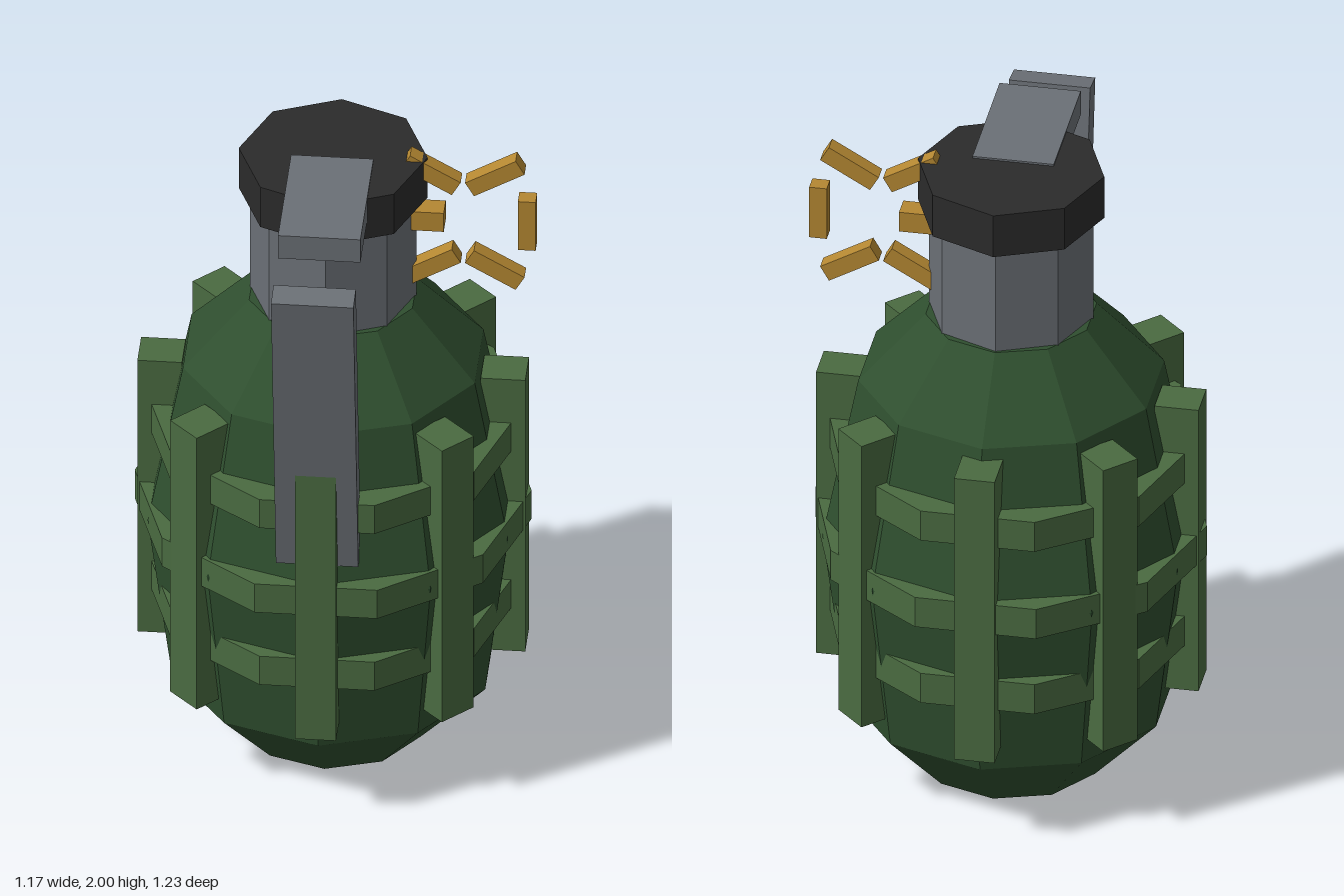
import * as THREE from 'three';

const paint = (name, color) => {
  const m = new THREE.MeshStandardMaterial({ color, flatShading: true });
  m.name = name;
  return m;
};

export function createModel() {
  const darkGreen = paint('dark green', 0x2f4f2f);
  const green = paint('olive green', 0x4a6b41);
  const steel = paint('steel grey', 0x6b7076);
  const black = paint('cap black', 0x2b2b2b);
  const brass = paint('brass', 0xb58832);

  const model = new THREE.Group();
  model.name = 'grenade';
  // everything is laid out around the body's axis
  const core = new THREE.Group();
  core.name = 'core';
  core.position.set(-0.01, 0, -0.05);
  model.add(core);

  const add = (name, geometry, material, x = 0, y = 0, z = 0, parent = core) => {
    const mesh = new THREE.Mesh(geometry, material);
    mesh.name = name;
    mesh.position.set(x, y, z);
    parent.add(mesh);
    return mesh;
  };

  // ten-sided body
  const profile = [[0, 0], [0.278, 0], [0.48, 0.22], [0.552, 0.77], [0.447, 1.29], [0.25, 1.5], [0, 1.5]];
  add('body', new THREE.LatheGeometry(profile.map(p => new THREE.Vector2(...p)), 10), darkGreen);

  // horizontal bands, turned half a facet against the body
  for (const [y, r] of [[0.5, 0.543], [0.777, 0.578], [1.052, 0.543]]) {
    add('band', new THREE.CylinderGeometry(r, r, 0.1, 10), green, 0, y).rotation.y = Math.PI / 10;
  }

  // upright ribs
  for (let i = 0; i < 8; i++) {
    const a = i * Math.PI / 4;
    add('rib', new THREE.BoxGeometry(0.12, 0.955, 0.13), green,
      Math.sin(a) * 0.5, 0.777, Math.cos(a) * 0.5).rotation.y = a;
  }

  // neck and cap
  add('neck', new THREE.CylinderGeometry(0.243, 0.243, 0.36, 8), steel, 0, 1.67);
  add('cap', new THREE.CylinderGeometry(0.275, 0.275, 0.14, 8), black, 0, 1.91);

  // lever: flat arm on the cap and a sloping handle
  add('leverArm', new THREE.BoxGeometry(0.24, 0.08, 0.415), steel, 0, 1.946, 0.237);
  add('leverHandle', new THREE.BoxGeometry(0.24, 1.03, 0.08), steel, 0, 1.395, 0.55).rotation.x = 0.15;

  // pin and the six links of the pull ring
  add('pin', new THREE.BoxGeometry(0.12, 0.065, 0.066), brass, 0.265, 1.777);
  const ring = new THREE.Group();
  ring.name = 'pullRing';
  ring.position.set(0.38, 1.774, 0);
  core.add(ring);
  for (let i = 0; i < 6; i++) {
    const a = i * Math.PI / 3;
    add('ringLink', new THREE.BoxGeometry(0.052, 0.17, 0.05), brass,
      Math.cos(a) * 0.186, Math.sin(a) * 0.186, 0, ring).rotation.z = -a;
  }
  return model;
}
